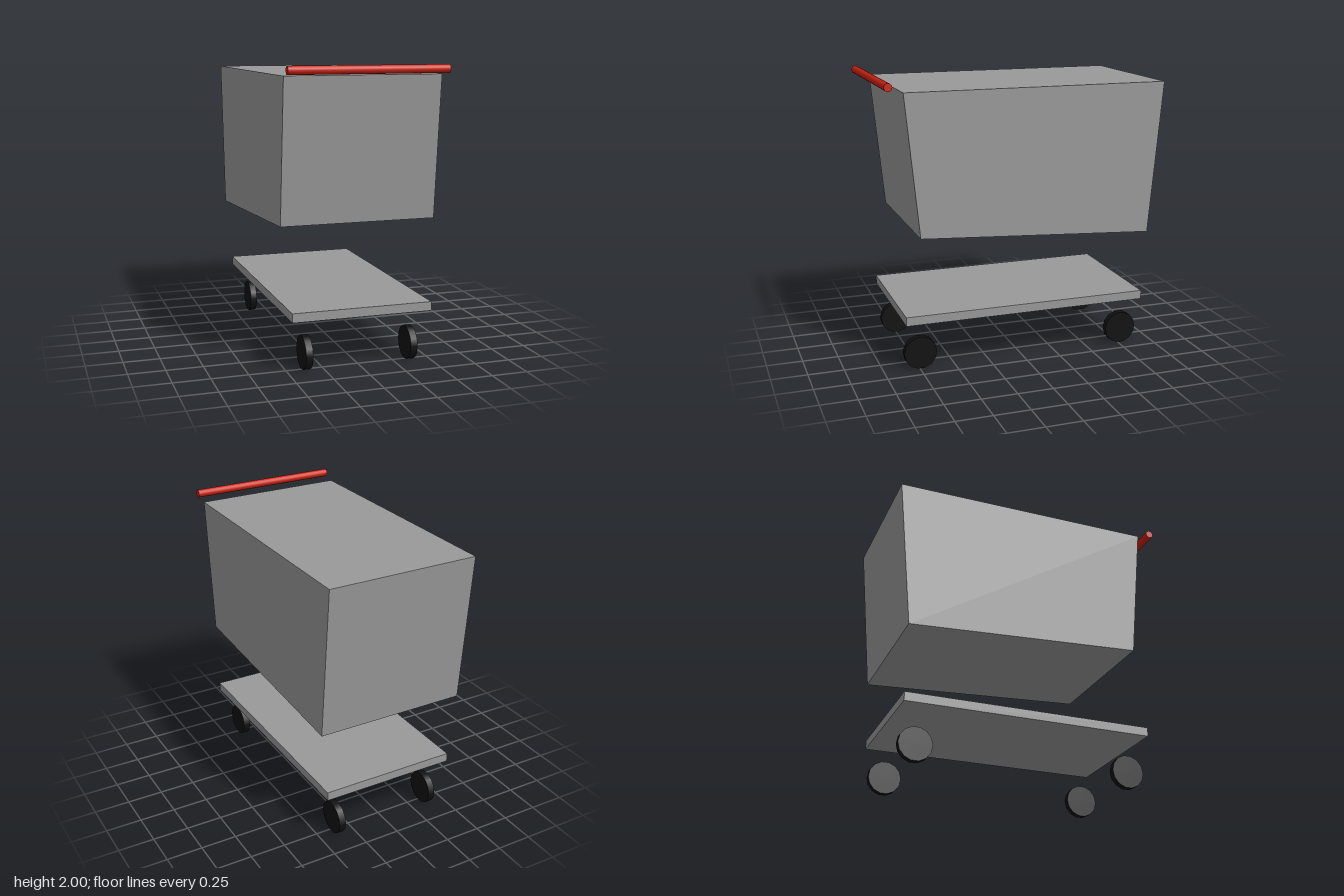
import * as THREE from 'three';

export function createModel() {
  const cart = new THREE.Group();
  cart.name = 'cart';

  const material = (name, color) => {
    const m = new THREE.MeshStandardMaterial({ color });
    m.name = name;
    return m;
  };
  const grey = material('metal grey', 0x999999);
  const red = material('handle red', 0xcc2211);
  const black = material('wheel black', 0x111111);

  const add = (name, geometry, mat, x, y, z) => {
    const mesh = new THREE.Mesh(geometry, mat);
    mesh.name = name;
    mesh.position.set(x, y, z);
    cart.add(mesh);
  };

  // Basket: side profile in (z, y), extruded across the width
  const profile = new THREE.Shape(
    [[0.76, 0.97], [0.855, 1.935], [-0.98, 1.935], [-0.885, 0.875]]
      .map(([z, y]) => new THREE.Vector2(-z, y))
  );
  const basket = new THREE.ExtrudeGeometry(profile, { depth: 1.066, bevelEnabled: false });
  basket.translate(0, 0, -0.533);
  basket.rotateY(Math.PI / 2);
  add('basket', basket, grey, 0, 0, 0);

  // Lower tray
  add('lowerTray', new THREE.BoxGeometry(0.97, 0.062, 1.74), grey, 0, 0.388, -0.01);

  // Push handle
  const bar = new THREE.CylinderGeometry(0.028, 0.028, 1.076, 16).rotateZ(Math.PI / 2);
  add('handle', bar, red, 0, 1.972, 0.952);

  // Four wheels
  const wheel = new THREE.CylinderGeometry(0.116, 0.116, 0.048, 14).rotateZ(Math.PI / 2);
  for (const [end, z] of [['front', 0.742], ['back', -0.766]]) {
    for (const [side, x] of [['Left', 0.367], ['Right', -0.367]]) {
      add(`${end}${side}Wheel`, wheel, black, x, 0.116, z);
    }
  }

  return cart;
}
